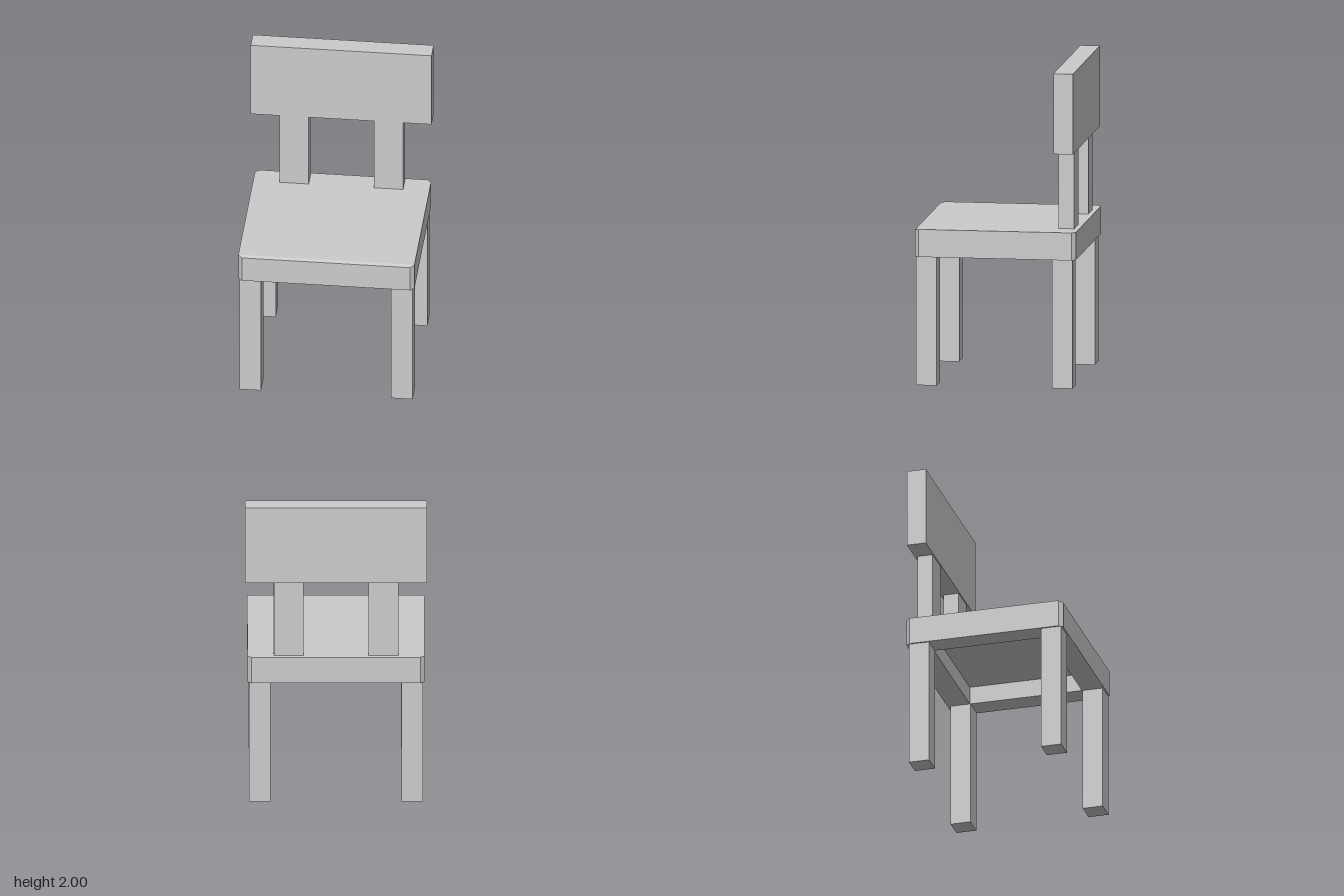
import * as THREE from 'three';
import { ConvexGeometry } from 'three/addons/geometries/ConvexGeometry.js';

const material = new THREE.MeshStandardMaterial({ color: 0xcccccc, flatShading: true });

function addMesh(parent, name, geometry) {
  const mesh = new THREE.Mesh(geometry, material);
  mesh.name = name;
  parent.add(mesh);
  return mesh;
}

// Box given by its [min, max] extent on each axis
function addBox(parent, name, [x0, x1], [y0, y1], [z0, z1]) {
  const mesh = addMesh(parent, name, new THREE.BoxGeometry(x1 - x0, y1 - y0, z1 - z0));
  mesh.position.set((x0 + x1) / 2, (y0 + y1) / 2, (z0 + z1) / 2);
  return mesh;
}

export function createModel() {
  const chair = new THREE.Group();
  chair.name = 'chair';

  // Seat outline: rectangle with clipped corners
  const W = 0.555, D = 0.51, C = 0.025;
  const outline = [
    [W, D - C], [W - C, D], [-W + C, D], [-W, D - C],
    [-W, -D + C], [-W + C, -D], [W - C, -D], [W, -D + C],
  ].map(([x, z]) => new THREE.Vector2(x, z));
  const bottom = 0.815, panelBottom = 0.93, top = 0.99;

  const seat = new THREE.Group();
  seat.name = 'seat';
  chair.add(seat);

  // Apron frame, open underneath
  const frameShape = new THREE.Shape(outline);
  frameShape.holes.push(new THREE.Path([
    new THREE.Vector2(-0.41, -0.365), new THREE.Vector2(-0.41, 0.365),
    new THREE.Vector2(0.41, 0.365), new THREE.Vector2(0.41, -0.365),
  ]));
  const frame = new THREE.ExtrudeGeometry(frameShape, { depth: panelBottom - bottom, bevelEnabled: false });
  frame.rotateX(-Math.PI / 2).translate(0, bottom, 0);
  addMesh(seat, 'seatFrame', frame);

  // Seat panel, its top sloping down slightly along the front edge
  const panelPoints = outline.flatMap((p) => [
    new THREE.Vector3(p.x, panelBottom, p.y),
    new THREE.Vector3(p.x, p.y > D - C / 2 ? top - 0.007 : top, p.y),
  ]);
  addMesh(seat, 'seatPanel', new ConvexGeometry(panelPoints));

  // Legs and back posts, mirrored left and right
  for (const [side, s] of [['left', 1], ['right', -1]]) {
    const span = (a, b) => (s > 0 ? [a, b] : [-b, -a]);
    addBox(chair, `${side}FrontLeg`, span(0.41, 0.545), [0, bottom], [0.37, 0.5]);
    addBox(chair, `${side}BackLeg`, span(0.41, 0.545), [0, bottom], [-0.49, -0.36]);
    addBox(chair, `${side}BackPost`, span(0.205, 0.39), [top, 1.49], [-0.478, -0.38]);
  }

  // Backrest board
  addBox(chair, 'backrest', [-0.57, 0.57], [1.49, 2], [-0.497, -0.373]);

  return chair;
}
